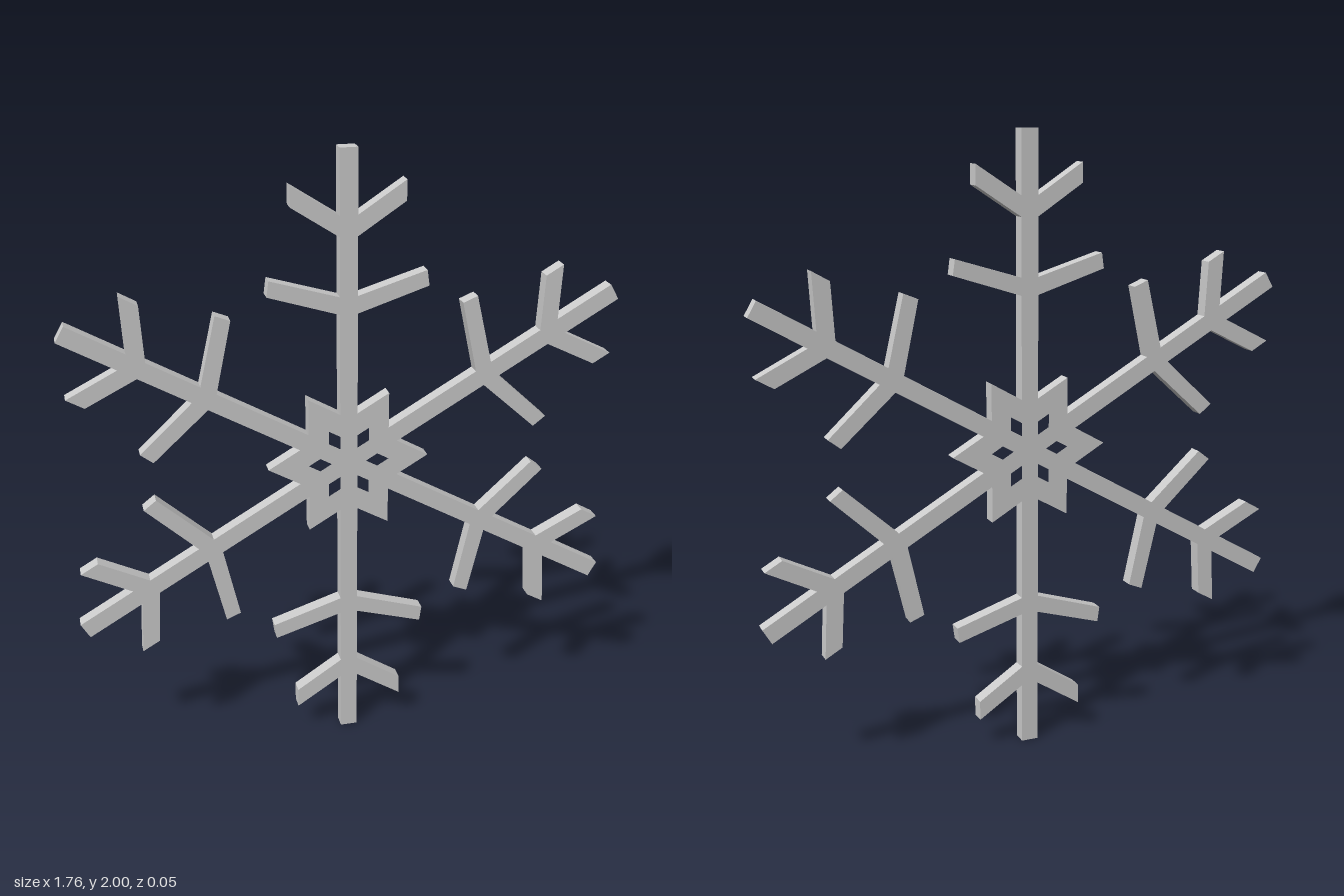
import * as THREE from 'three';

const ARMS = 6;
const DEPTH = 0.046;

// Right half of one upright arm, from the tip inwards to the star notch
const HALF_ARM = [
  [0.028, 1],
  [0.028, 0.8], [0.177, 0.897], [0.177, 0.833], [0.028, 0.735],   // outer branch
  [0.028, 0.55], [0.246, 0.616], [0.253, 0.566], [0.028, 0.494],  // inner branch
  [0.028, 0.166],
];
const STAR_TIP = [0.13, 0.225];

// Diamond opening between two arms, lying on the +x axis
const DIAMOND = [[0.056, 0], [0.093, 0.0214], [0.13, 0], [0.093, -0.0214]];

const turned = (points, k) => points.map(([x, y]) =>
  new THREE.Vector2(x, y).rotateAround(new THREE.Vector2(), -k * Math.PI * 2 / ARMS));

export function createModel() {
  const group = new THREE.Group();
  group.name = 'snowflake';

  // One outline: left half, right half and star tip, repeated around the centre
  const leftHalf = HALF_ARM.map(([x, y]) => [-x, y]).reverse();
  const sector = [...leftHalf, ...HALF_ARM, STAR_TIP];
  const outline = [];
  const holes = [];
  for (let k = 0; k < ARMS; k++) {
    outline.push(...turned(sector, k));
    holes.push(new THREE.Path(turned(DIAMOND, k)));
  }
  const shape = new THREE.Shape(outline);
  shape.holes = holes;

  const geometry = new THREE.ExtrudeGeometry(shape, { depth: DEPTH, bevelEnabled: false });
  geometry.translate(0, 1, -DEPTH / 2);

  const body = new THREE.Mesh(
    geometry,
    new THREE.MeshStandardMaterial({ color: 0xcccccc, flatShading: true }),
  );
  body.name = 'armsAndStar';
  group.add(body);
  return group;
}
